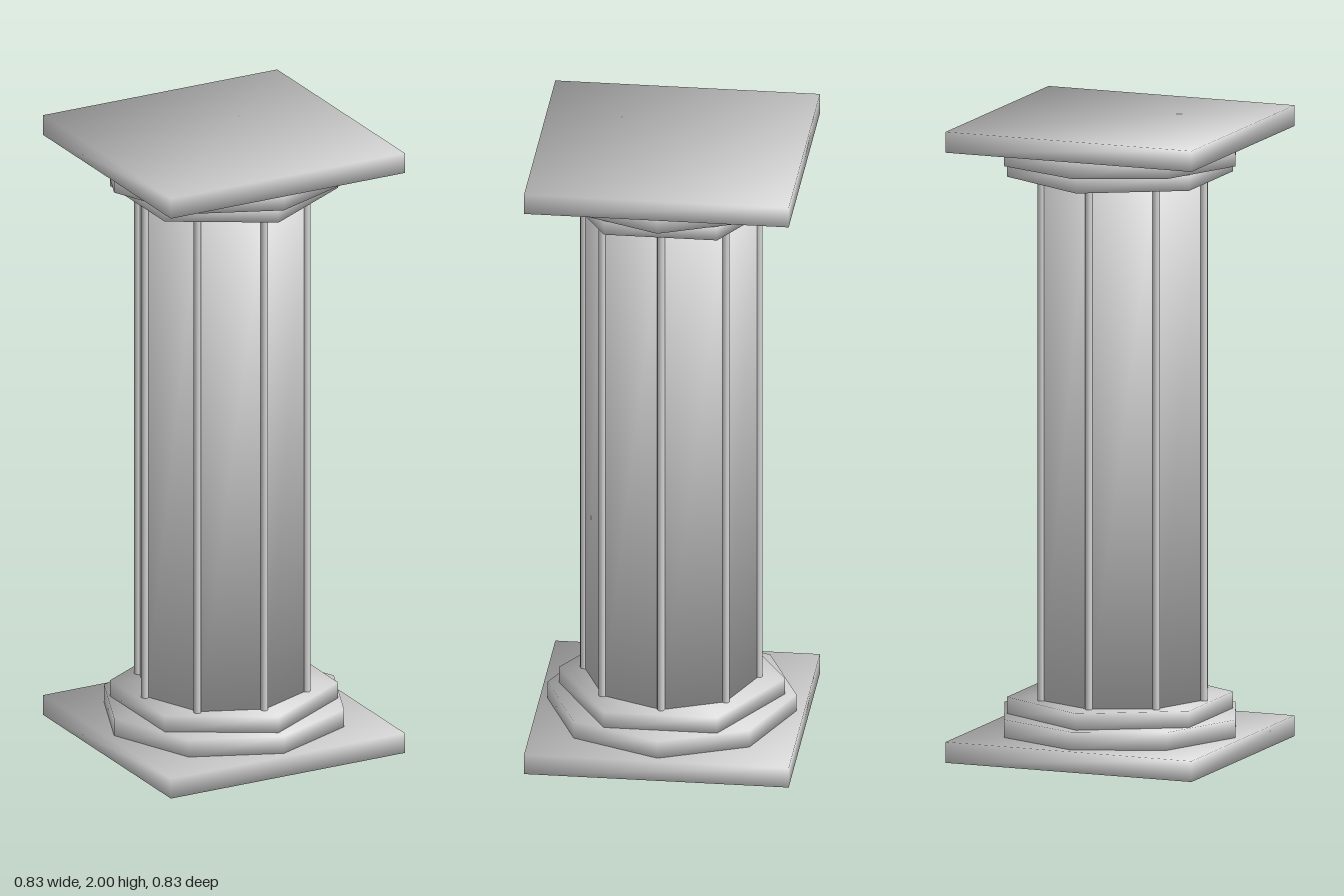
import * as THREE from 'three';

const stone = new THREE.MeshStandardMaterial({ color: 0xd4d4d4 });
stone.name = 'pale stone';

// Softens all edges: normals blend the side faces with the caps of an n-sided prism.
function softenNormals(geometry, sides) {
  const p = geometry.attributes.position;
  const n = geometry.attributes.normal;
  const outward = Math.PI * Math.cos(Math.PI / sides);
  const upward = Math.PI - (2 * Math.PI) / sides;
  const v = new THREE.Vector3();
  for (let i = 0; i < p.count; i++) {
    v.set(p.getX(i), 0, p.getZ(i));
    if (v.length() > 1e-4) v.normalize().multiplyScalar(outward);
    v.y = Math.sign(p.getY(i)) * upward;
    v.normalize();
    n.setXYZ(i, v.x, v.y, v.z);
  }
  return geometry;
}

function addMesh(parent, name, geometry, x, y, z) {
  const mesh = new THREE.Mesh(geometry, stone);
  mesh.name = name;
  mesh.position.set(x, y, z);
  parent.add(mesh);
}

function prism(radius, height, sides) {
  return softenNormals(new THREE.CylinderGeometry(radius, radius, height, sides), sides);
}

export function createModel() {
  const model = new THREE.Group();
  model.name = 'column';

  // Base and its mirrored capital: square slab, octagonal step, hexagonal step
  for (const top of [false, true]) {
    const part = new THREE.Group();
    part.name = top ? 'capital' : 'base';
    const at = (y) => (top ? 2 - y : y);
    const slab = softenNormals(new THREE.BoxGeometry(0.83, 0.066, 0.83), 4);
    addMesh(part, 'squareSlab', slab, 0, at(0.033), 0);
    addMesh(part, 'octagonalStep', prism(0.39, 0.06, 8), 0, at(0.093), 0);
    addMesh(part, 'hexagonalStep', prism(0.355, 0.055, 6), 0, at(0.148), 0);
    model.add(part);
  }

  // Octagonal shaft
  addMesh(model, 'shaft', prism(0.272, 1.66, 8), -0.004, 1, 0.002);

  // Slim round rib along each corner of the shaft
  const ribs = new THREE.Group();
  ribs.name = 'ribs';
  const ribGeometry = new THREE.CylinderGeometry(0.012, 0.012, 1.66, 10);
  for (let i = 0; i < 8; i++) {
    const a = (i * Math.PI) / 4;
    addMesh(ribs, 'rib', ribGeometry, -0.008 + 0.274 * Math.sin(a), 1, 0.003 + 0.274 * Math.cos(a));
  }
  model.add(ribs);

  return model;
}
